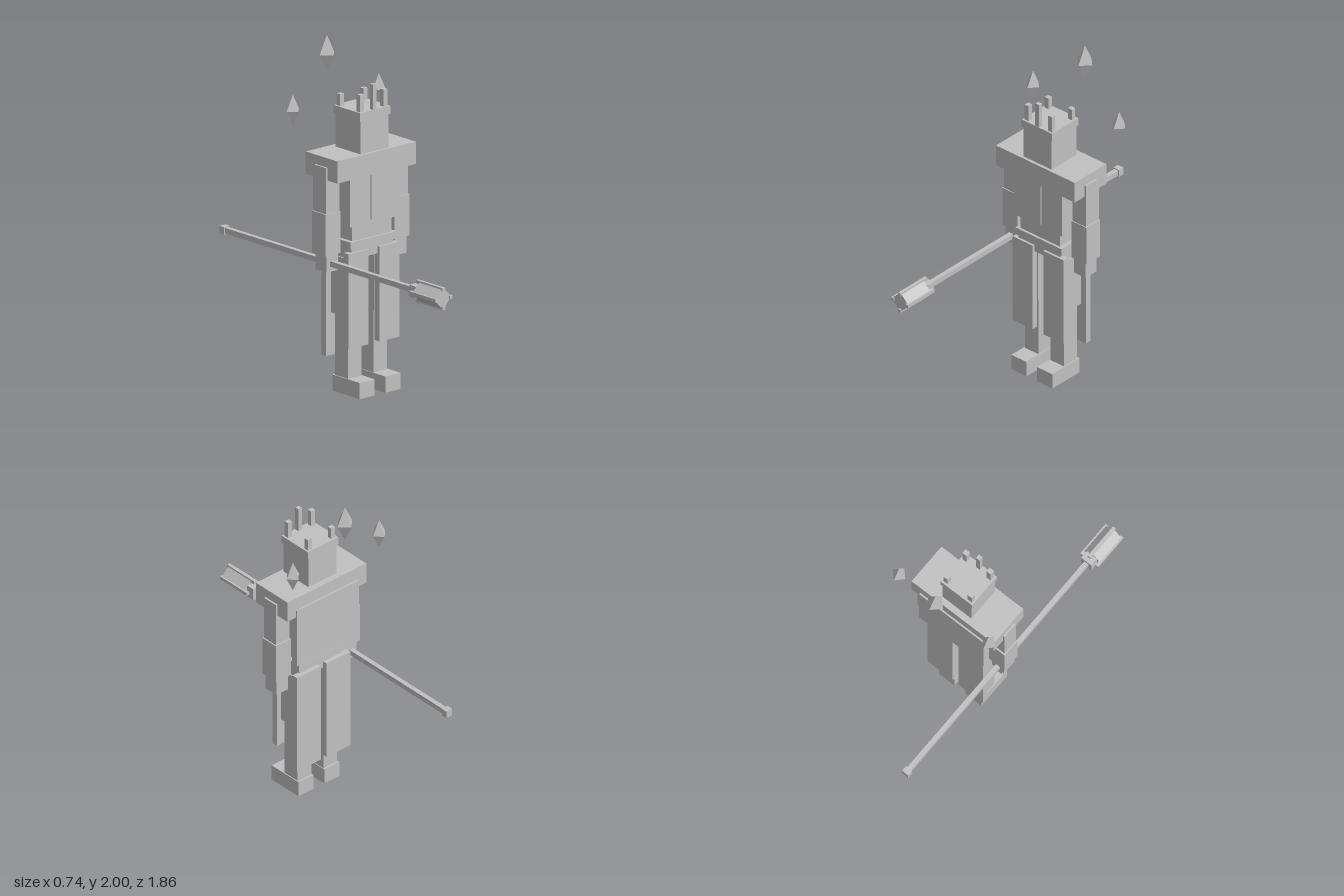
import * as THREE from 'three';

export function createModel() {
  const model = new THREE.Group();
  model.name = 'crownedWarrior';
  const stone = new THREE.MeshStandardMaterial({ color: 0xc0c0c0 });
  stone.name = 'stone grey';

  function add(name, geometry, parent = model) {
    const mesh = new THREE.Mesh(geometry, stone);
    mesh.name = name;
    parent.add(mesh);
    return mesh;
  }

  // Box given by its limits along each axis
  function box(name, [x0, x1], [y0, y1], [z0, z1], parent = model) {
    const mesh = add(name, new THREE.BoxGeometry(x1 - x0, y1 - y0, z1 - z0), parent);
    mesh.position.set((x0 + x1) / 2, (y0 + y1) / 2, (z0 + z1) / 2);
    return mesh;
  }

  // Same box on the left (+x) and right (-x)
  function pair(name, [x0, x1], y, z) {
    box(name + 'Left', [x0, x1], y, z);
    box(name + 'Right', [-x1, -x0], y, z);
  }

  // Head and crown
  box('head', [-0.105, 0.105], [1.41, 1.605], [-0.152, 0.058]);
  box('crownBand', [-0.114, 0.114], [1.605, 1.653], [-0.158, 0.063]);
  box('crownCentreSpike', [-0.014, 0.014], [1.653, 1.8], [0.035, 0.061]);
  pair('crownFrontSpike', [0.072, 0.102], [1.653, 1.752], [0.023, 0.052]);
  pair('crownBackSpike', [0.072, 0.102], [1.653, 1.722], [-0.145, -0.117]);

  // Trunk
  box('shoulderYoke', [-0.295, 0.295], [1.28, 1.41], [-0.19, 0.076]);
  box('torso', [-0.18, 0.18], [0.995, 1.28], [-0.155, 0.055]);
  box('chestStrip', [-0.029, 0.029], [1.015, 1.28], [0.05, 0.064]);
  box('backPlate', [-0.232, 0.232], [0.955, 1.33], [-0.2, -0.158]);
  box('waist', [-0.147, 0.147], [0.9, 0.995], [-0.13, 0.035]);
  box('belt', [-0.172, 0.172], [0.862, 0.906], [-0.148, 0.05]);
  box('hips', [-0.157, 0.157], [0.8, 0.862], [-0.135, 0.04]);

  // Arms
  pair('upperArm', [0.205, 0.307], [1.085, 1.355], [-0.105, -0.005]);
  pair('forearm', [0.202, 0.315], [0.842, 1.085], [-0.115, 0]);
  pair('hand', [0.213, 0.3], [0.742, 0.842], [-0.103, -0.01]);

  // Legs
  pair('thigh', [0.035, 0.165], [0.46, 0.8], [-0.125, 0.013]);
  pair('shin', [0.045, 0.147], [0.095, 0.46], [-0.11, 0]);
  pair('foot', [0.04, 0.153], [0, 0.095], [-0.123, 0.105]);

  // Hanging skirt panels
  pair('frontSkirtPanel', [0.04, 0.19], [0.288, 0.842], [0.015, 0.054]);
  pair('backSkirtPanel', [0.02, 0.2], [0.21, 0.842], [-0.164, -0.124]);

  // Mace held forward in the right hand
  const mace = new THREE.Group();
  mace.name = 'mace';
  mace.position.set(-0.258, 0.788, 0);
  model.add(mace);
  box('shaft', [-0.014, 0.014], [-0.016, 0.016], [-0.91, 0.7], mace);
  box('pommel', [-0.022, 0.022], [-0.022, 0.022], [-0.932, -0.895], mace);
  box('maceNeck', [-0.037, 0.037], [-0.036, 0.036], [0.682, 0.735], mace);
  const side = 0.064 * Math.SQRT2;
  const head = add('maceHead', new THREE.BoxGeometry(side, side, 0.19), mace);
  head.position.z = 0.828;
  head.rotation.z = Math.PI / 4;
  for (let i = 0; i < 4; i++) {
    const a = i * Math.PI / 2;
    const rod = add('maceCornerRod', new THREE.BoxGeometry(0.02, 0.02, 0.226), mace);
    rod.position.set(0.054 * Math.cos(a), 0.054 * Math.sin(a), 0.819);
  }

  // Floating crystals behind the head
  function crystal(name, x, y, z, halfWidth, halfHeight) {
    const geometry = new THREE.OctahedronGeometry(1);
    geometry.scale(halfWidth, halfHeight, halfWidth);
    geometry.computeVertexNormals();
    add(name, geometry).position.set(x, y, z);
  }
  crystal('centreCrystal', 0, 1.89, -0.342, 0.055, 0.11);
  for (const s of [-1, 1]) {
    crystal(s > 0 ? 'leftCrystal' : 'rightCrystal', s * 0.323, 1.639, -0.267, 0.046, 0.092);
  }

  return model;
}
